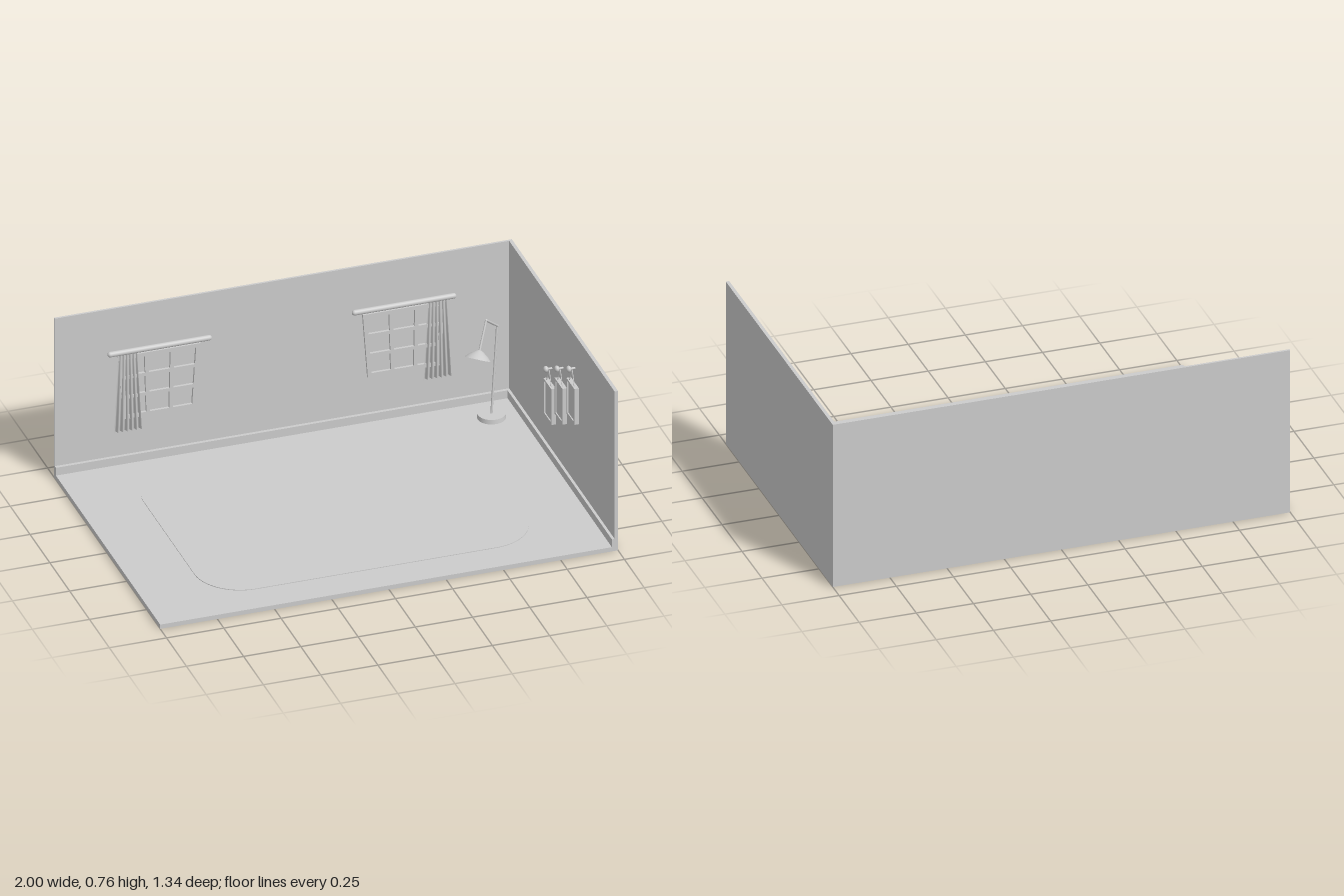
import * as THREE from 'three';

const mat = new THREE.MeshStandardMaterial({ color: 0xcccccc });
const thin = new THREE.MeshStandardMaterial({ color: 0xcccccc, side: THREE.DoubleSide });

function add(parent, name, geometry, x = 0, y = 0, z = 0, material = mat) {
  const mesh = new THREE.Mesh(geometry, material);
  mesh.name = name;
  mesh.position.set(x, y, z);
  parent.add(mesh);
  return mesh;
}

function group(parent, name, x = 0, y = 0, z = 0) {
  const g = new THREE.Group();
  g.name = name;
  g.position.set(x, y, z);
  parent.add(g);
  return g;
}

// box given by its limits on each axis
function block(parent, name, [x0, x1], [y0, y1], [z0, z1]) {
  return add(parent, name, new THREE.BoxGeometry(x1 - x0, y1 - y0, z1 - z0),
    (x0 + x1) / 2, (y0 + y1) / 2, (z0 + z1) / 2);
}

// round bar between two points
function bar(parent, name, a, b, radius) {
  const dir = b.clone().sub(a);
  const mesh = add(parent, name, new THREE.CylinderGeometry(radius, radius, dir.length(), 10));
  mesh.position.copy(a).add(b).multiplyScalar(0.5);
  mesh.quaternion.setFromUnitVectors(new THREE.Vector3(0, 1, 0), dir.normalize());
  return mesh;
}

// tapered window frame, wider at the top, with a 3 x 3 grid of openings
function windowGeometry() {
  const y0 = 0.23, y1 = 0.53, bottom = 0.158, top = 0.18, rim = 0.018, mullion = 0.016;
  const point = (u, v) => {
    const y = y0 + v * (y1 - y0);
    return new THREE.Vector2(u * (bottom + v * (top - bottom)), y);
  };
  const quad = (u0, u1, v0, v1) => [point(u0, v0), point(u1, v0), point(u1, v1), point(u0, v1)];
  const shape = new THREE.Shape(quad(-1, 1, 0, 1));
  const ru = rim / 0.17, mu = mullion / 0.17, rv = rim / 0.3, mv = mullion / 0.3;
  const w = (2 - 2 * ru - 2 * mu) / 3, h = (1 - 2 * rv - 2 * mv) / 3;
  for (let i = 0; i < 3; i++) {
    for (let j = 0; j < 3; j++) {
      const u = -1 + ru + i * (w + mu), v = rv + j * (h + mv);
      shape.holes.push(new THREE.Path(quad(u, u + w, v, v + h).reverse()));
    }
  }
  return new THREE.ExtrudeGeometry(shape, { depth: 0.014, bevelEnabled: false });
}

// pleated cloth that flares toward the hem
function curtainGeometry() {
  const g = new THREE.PlaneGeometry(2, 1, 60, 12);
  const p = g.attributes.position;
  for (let i = 0; i < p.count; i++) {
    const u = p.getX(i), t = 0.5 - p.getY(i);
    const half = 0.042 + 0.019 * t;
    const z = -0.646 + (0.003 + 0.006 * t) * Math.cos(u * Math.PI * 6);
    p.setXYZ(i, u * half, 0.545 - 0.369 * t, z);
  }
  g.computeVertexNormals();
  return g;
}

function roundedRect(hx, hz, r) {
  const s = new THREE.Shape();
  const corners = [[1, 1, 0], [-1, 1, 1], [-1, -1, 2], [1, -1, 3]];
  for (const [sx, sz, k] of corners) {
    s.absarc(sx * (hx - r), sz * (hz - r), r, k * Math.PI / 2, (k + 1) * Math.PI / 2, false);
  }
  return s;
}

export function createModel() {
  const room = new THREE.Group();
  room.name = 'room';

  // shell: floor, two walls and skirting
  block(room, 'floor', [-1, 0.985], [0, 0.02], [-0.66, 0.67]);
  block(room, 'backWall', [-1, 0.985], [0, 0.757], [-0.67, -0.66]);
  block(room, 'sideWall', [0.985, 1], [0, 0.757], [-0.67, 0.67]);
  block(room, 'backSkirting', [-1, 0.985], [0.02, 0.057], [-0.66, -0.645]);
  block(room, 'sideSkirting', [0.973, 0.985], [0.02, 0.057], [-0.645, 0.67]);

  // thin rug with rounded corners
  const rug = add(room, 'rug', new THREE.ExtrudeGeometry(roundedRect(0.725, 0.52, 0.2),
    { depth: 0.003, bevelEnabled: false, curveSegments: 16 }), -0.005, 0.02, 0);
  rug.rotation.x = -Math.PI / 2;

  // windows, each with a rail and one curtain on its outer side
  const frame = windowGeometry(), cloth = curtainGeometry();
  for (const [x, side] of [[-0.546, -1], [0.522, 1]]) {
    const unit = group(room, 'window', x);
    add(unit, 'windowFrame', frame, 0, 0, -0.662);
    const rail = add(unit, 'curtainRail', new THREE.CapsuleGeometry(0.012, 0.432, 6, 16), 0, 0.549, -0.648);
    rail.rotation.z = Math.PI / 2;
    add(unit, 'curtain', cloth, side * 0.142, 0, 0, thin);
  }

  // pictures hung from knobs on the side wall, stepping up toward the front
  for (const [y, z] of [[0.443, -0.12], [0.52, 0.02], [0.6, 0.17]]) {
    const picture = group(room, 'picture', 0, y, z);
    const knob = add(picture, 'knob', new THREE.SphereGeometry(0.014, 16, 10), 0.958);
    knob.scale.x = 0.8;
    bar(picture, 'peg', new THREE.Vector3(0.958, 0, 0), new THREE.Vector3(0.986, 0, 0), 0.005);
    for (const s of [-1, 1]) {
      bar(picture, 'cord', new THREE.Vector3(0.972, 0, 0), new THREE.Vector3(0.972, -0.07, s * 0.03), 0.002);
      block(picture, 'frameSide', [0.965, 0.985], [-0.24, -0.07], s > 0 ? [0.04, 0.05] : [-0.05, -0.04]);
    }
    block(picture, 'frameTop', [0.965, 0.985], [-0.08, -0.07], [-0.04, 0.04]);
    block(picture, 'frameBottom', [0.965, 0.985], [-0.24, -0.23], [-0.04, 0.04]);
    block(picture, 'canvas', [0.97, 0.985], [-0.23, -0.08], [-0.04, 0.04]);
  }

  // floor lamp with a bent arm
  const lamp = group(room, 'floorLamp');
  add(lamp, 'lampBase', new THREE.CylinderGeometry(0.058, 0.06, 0.02, 32), 0.858, 0.03, -0.516);
  const joints = [[0.858, 0.04, -0.516], [0.896, 0.428, -0.554], [0.822, 0.508, -0.478], [0.776, 0.393, -0.431]]
    .map(p => new THREE.Vector3(...p));
  for (let i = 0; i < 3; i++) {
    bar(lamp, 'lampArm', joints[i], joints[i + 1], 0.005);
    add(lamp, 'lampJoint', new THREE.SphereGeometry(0.006, 12, 8)).position.copy(joints[i + 1]);
  }

  // shade opens along the last arm
  const axis = joints[2].clone().sub(joints[3]).normalize();
  const profile = [[0.007, 0.006], [0.018, 0], [0.04, -0.016], [0.055, -0.032]]
    .map(([r, y]) => new THREE.Vector2(r, y));
  const shade = add(lamp, 'lampShade', new THREE.LatheGeometry(profile, 32), 0, 0, 0, thin);
  shade.position.copy(joints[3]);
  shade.quaternion.setFromUnitVectors(new THREE.Vector3(0, 1, 0), axis);
  add(shade, 'bulb', new THREE.SphereGeometry(0.014, 16, 10), 0, -0.014, 0);

  return room;
}
